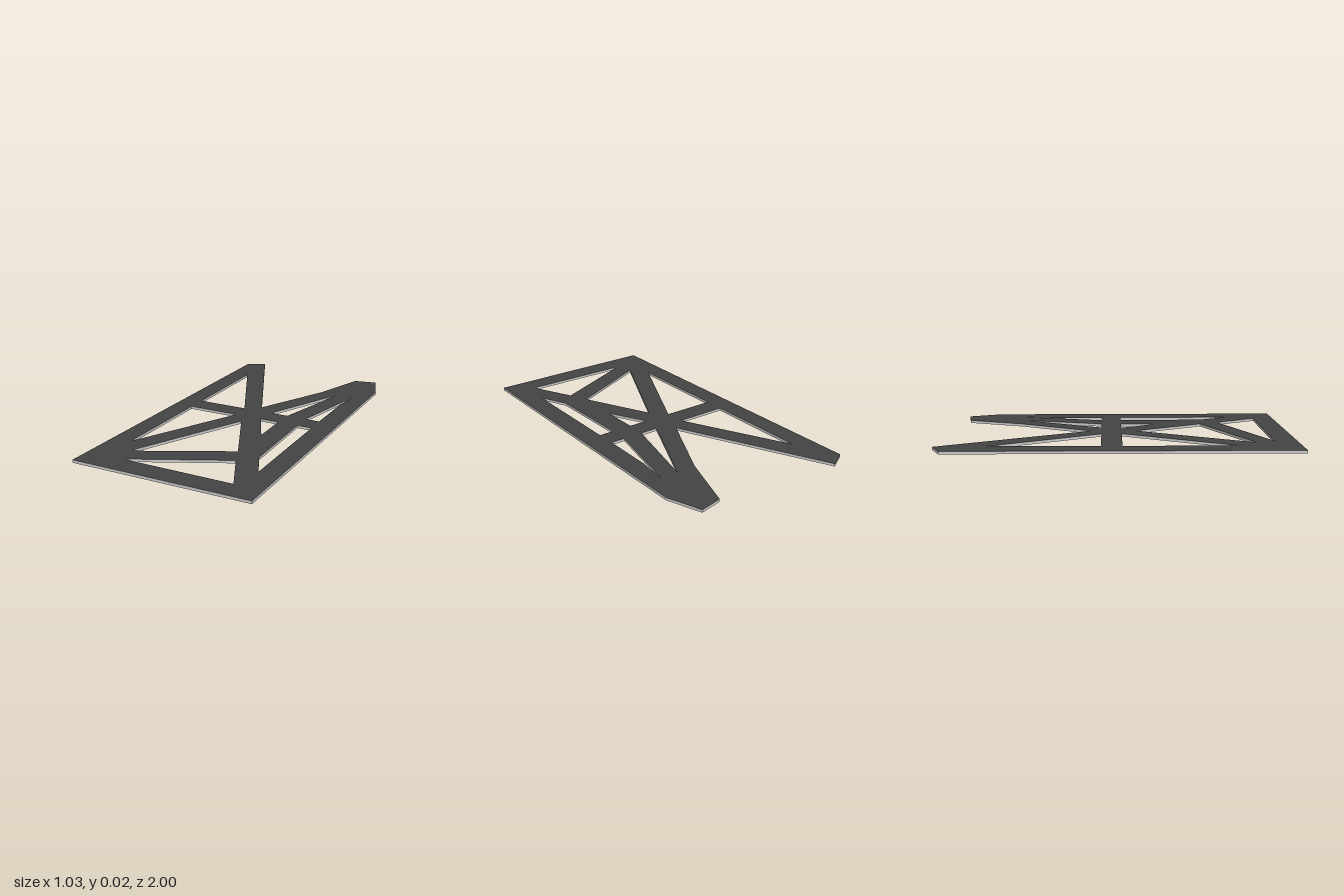
import * as THREE from 'three';

const THICKNESS = 0.016;

// Corners are given as [x, z] on the ground plane
const toPoints = (corners) => corners.map(([x, z]) => new THREE.Vector2(x, -z));

// Outer edge: two prongs at the back, straight edge at the front
const outline = [
  [-0.515, 0.998], [0.513, 0.99], [0.508, -0.75], [0.44, -0.94], [0.31, -0.913],
  [0.195, -0.58], [-0.012, -0.155], [-0.41, -0.998], [-0.515, -0.942],
];

// Openings between the struts
const openings = [
  [[-0.4, -0.705], [-0.098, -0.092], [-0.4, -0.092]],
  [[-0.4, 0.025], [-0.092, 0.025], [-0.4, 0.655]],
  [[-0.012, 0.11], [0.183, 0.512], [-0.325, 0.765]],
  [[0.23, 0.622], [0.352, 0.87], [-0.29, 0.87]],
  [[0.305, 0.025], [0.392, 0.025], [0.395, 0.695], [0.317, 0.53]],
  [[0.072, 0.025], [0.183, 0.025], [0.188, 0.25]],
  [[0.082, -0.092], [0.188, -0.092], [0.31, -0.585]],
  [[0.305, -0.092], [0.39, -0.092], [0.392, -0.4], [0.415, -0.6]],
];

export function createModel() {
  const model = new THREE.Group();
  model.name = 'trussPlate';

  const shape = new THREE.Shape(toPoints(outline));
  for (const corners of openings) shape.holes.push(new THREE.Path(toPoints(corners)));

  const geometry = new THREE.ExtrudeGeometry(shape, { depth: THICKNESS, bevelEnabled: false });
  geometry.rotateX(-Math.PI / 2);

  // Dark faces, light cut edges
  const face = new THREE.MeshStandardMaterial({ color: 0x444444 });
  const edge = new THREE.MeshStandardMaterial({ color: 0xcccccc });
  const frame = new THREE.Mesh(geometry, [face, edge]);
  frame.name = 'strutFrame';
  model.add(frame);
  return model;
}
